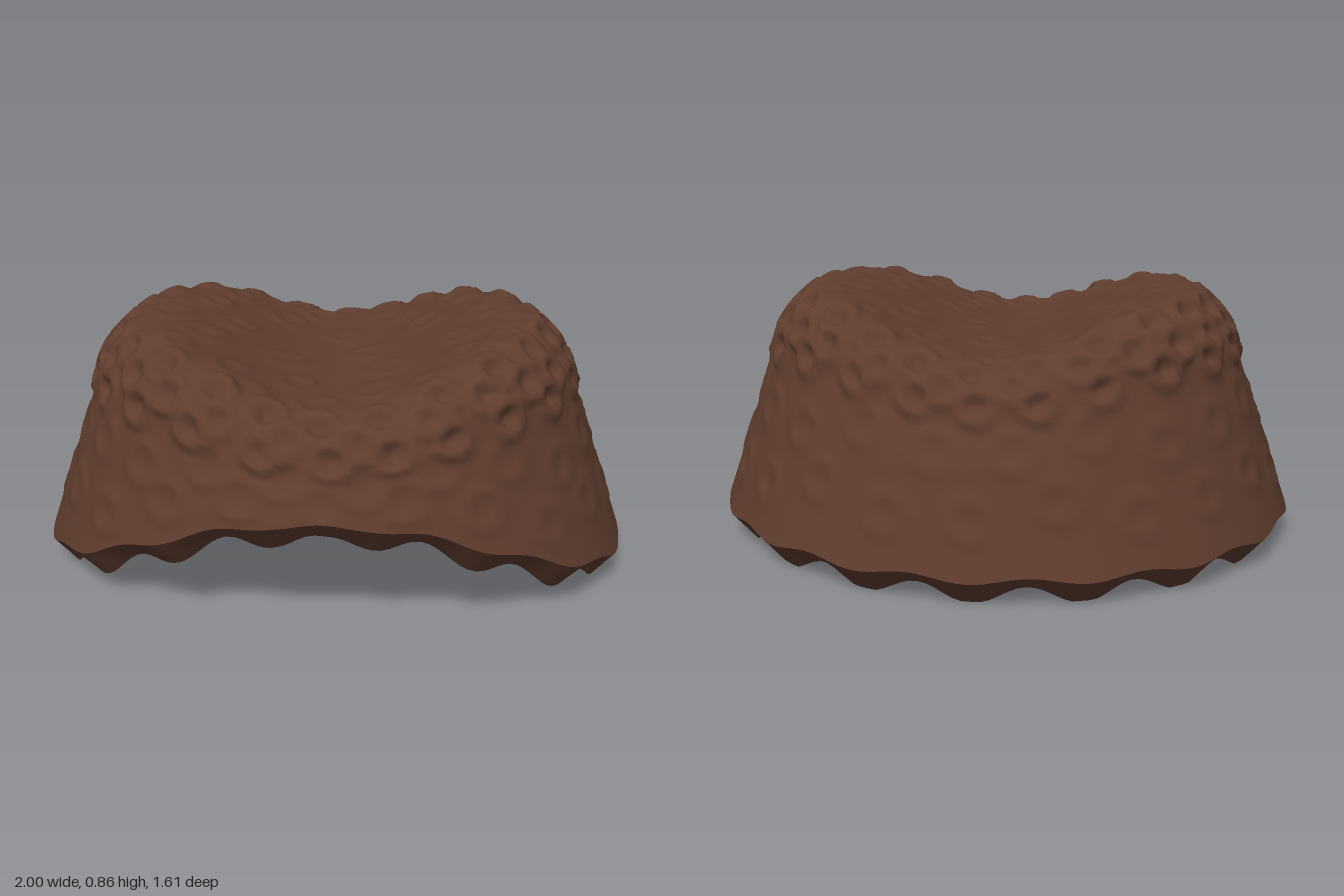
import * as THREE from 'three';

const SEG = 208, CROWN_ROWS = 46, WALL_ROWS = 30;
const ROWS = CROWN_ROWS + WALL_ROWS;
const THICK = 0.08, WAVES = 17, DEPTH = 0.85, Z0 = 0.04;

// Crown profile: radius and height, from the centre out over the rounded edge
const crownCurve = new THREE.CatmullRomCurve3(
  [[0.002, 0.85], [0.3, 0.85], [0.52, 0.85], [0.65, 0.845], [0.72, 0.79], [0.77, 0.73], [0.8, 0.66]]
    .map(([r, y]) => new THREE.Vector3(r, y, 0)));

// Lower edge: level round the back and sides, arched at the front
function edgeHeight(theta) {
  const z = Math.sin(theta) * 0.79 + Z0;
  const t = THREE.MathUtils.clamp((z - 0.2) / 0.62, 0, 1);
  return 0.1 + 0.31 * t * t + 0.01 * Math.sin(theta * WAVES);
}

// Point of the smooth shell; row runs from the crown centre down to the edge
function shellPoint(row, theta) {
  let r, y;
  if (row <= CROWN_ROWS) {
    const p = crownCurve.getPoint(row / CROWN_ROWS);
    r = p.x;
    y = p.y;
  } else {
    y = THREE.MathUtils.lerp(0.66, edgeHeight(theta), (row - CROWN_ROWS) / WALL_ROWS);
    r = 0.8 + (0.66 - y) * 0.357;
  }
  const x = r * Math.cos(theta), z = r * DEPTH * Math.sin(theta) + Z0;
  // Valley along the middle of the crown, fading out down the wall
  const dip = Math.abs(x) < 0.62 ? 0.08 * (1 + Math.cos(Math.PI * x / 0.62)) : 0;
  if (y > 0.42) y = 0.42 + (y - 0.42) * (1 - dip / 0.43);
  return new THREE.Vector3(x, y, z);
}

// Ring-shaped curls: faint on the crown and wall, strong round the crown edge
function makeCurls() {
  const curls = [];
  const add = (row, theta, height, radius) =>
    curls.push({ centre: shellPoint(row, theta), height, radius });
  for (let i = 0; i < 30; i++) {
    const s = Math.sqrt((i + 0.5) / 30);
    add(s * CROWN_ROWS * 0.5, i * 2.39996, 0.008, 0.055 + 0.012 * Math.sin(i * 3.1));
  }
  for (let k = 0; k < 3; k++) {
    for (let i = 0; i < 24; i++) {
      const wobble = Math.sin(i * 5.3 + k * 2);
      add(CROWN_ROWS * (0.64 + k * 0.16) + wobble, (i + k * 0.5 + wobble * 0.15) * Math.PI / 12, 0.022, 0.05);
    }
  }
  for (let k = 0; k < 2; k++) {
    for (let i = 0; i < 22; i++) {
      add(CROWN_ROWS + 9 + k * 11 + 2 * Math.sin(i * 4.1), (i + k * 0.5) * Math.PI / 11, 0.007, 0.06);
    }
  }
  return curls;
}

function curlHeight(p, curls) {
  let h = 0;
  for (const c of curls) {
    const d = p.distanceTo(c.centre);
    if (d < 0.15) {
      const ring = Math.exp(-(((d - c.radius) / 0.02) ** 2));
      const pit = Math.exp(-((d / 0.03) ** 2));
      h += c.height * (ring - 0.5 * pit);
    }
  }
  return Math.min(h, 0.022);
}

// Surface from closed rings of points
function skin(rings, flip = false) {
  const positions = [], index = [];
  rings.forEach(ring => ring.forEach(p => positions.push(p.x, p.y, p.z)));
  for (let i = 0; i < rings.length - 1; i++) {
    for (let j = 0; j < SEG; j++) {
      const a = i * SEG + j, b = i * SEG + (j + 1) % SEG;
      const c = a + SEG, d = b + SEG;
      if (flip) index.push(a, c, b, b, c, d);
      else index.push(a, b, c, b, d, c);
    }
  }
  const g = new THREE.BufferGeometry();
  g.setAttribute('position', new THREE.Float32BufferAttribute(positions, 3));
  g.setIndex(index);
  g.computeVertexNormals();
  return g;
}

export function createModel() {
  const group = new THREE.Group();
  group.name = 'curlyHair';
  const brown = new THREE.MeshStandardMaterial({ name: 'darkBrown', color: 0x5f3d2e });

  // Smooth shell and its normals
  const smooth = [];
  for (let i = 0; i <= ROWS; i++) {
    smooth.push(Array.from({ length: SEG }, (_, j) => shellPoint(i, j / SEG * Math.PI * 2)));
  }
  const normals = skin(smooth).attributes.normal;
  const normalAt = (i, j) => i < 2 ? new THREE.Vector3(0, 1, 0)
    : new THREE.Vector3().fromBufferAttribute(normals, i * SEG + j);

  // Curled outside, and a lining that follows it at an even thickness
  const curls = makeCurls();
  const outer = smooth.map((ring, i) => ring.map((p, j) =>
    p.clone().addScaledVector(normalAt(i, j), curlHeight(p, curls) * Math.min(1, (ROWS - i) / 4))));
  const inner = outer.map((ring, i) => ring.map((p, j) => {
    const q = p.clone().addScaledVector(normalAt(i, j), -THICK);
    const nearEdge = Math.max(0, 1 - (ROWS - i) / 8);
    q.y -= nearEdge * (0.055 - 0.018 * Math.sin(j / SEG * Math.PI * 2 * WAVES));
    q.y = Math.max(q.y, 0);
    return q;
  }));

  const addMesh = (name, geometry) => {
    const mesh = new THREE.Mesh(geometry, brown);
    mesh.name = name;
    group.add(mesh);
  };
  addMesh('outerCurls', skin(outer));
  addMesh('innerLining', skin(inner, true));
  addMesh('wavyRim', skin([outer[ROWS], inner[ROWS]]));
  return group;
}
